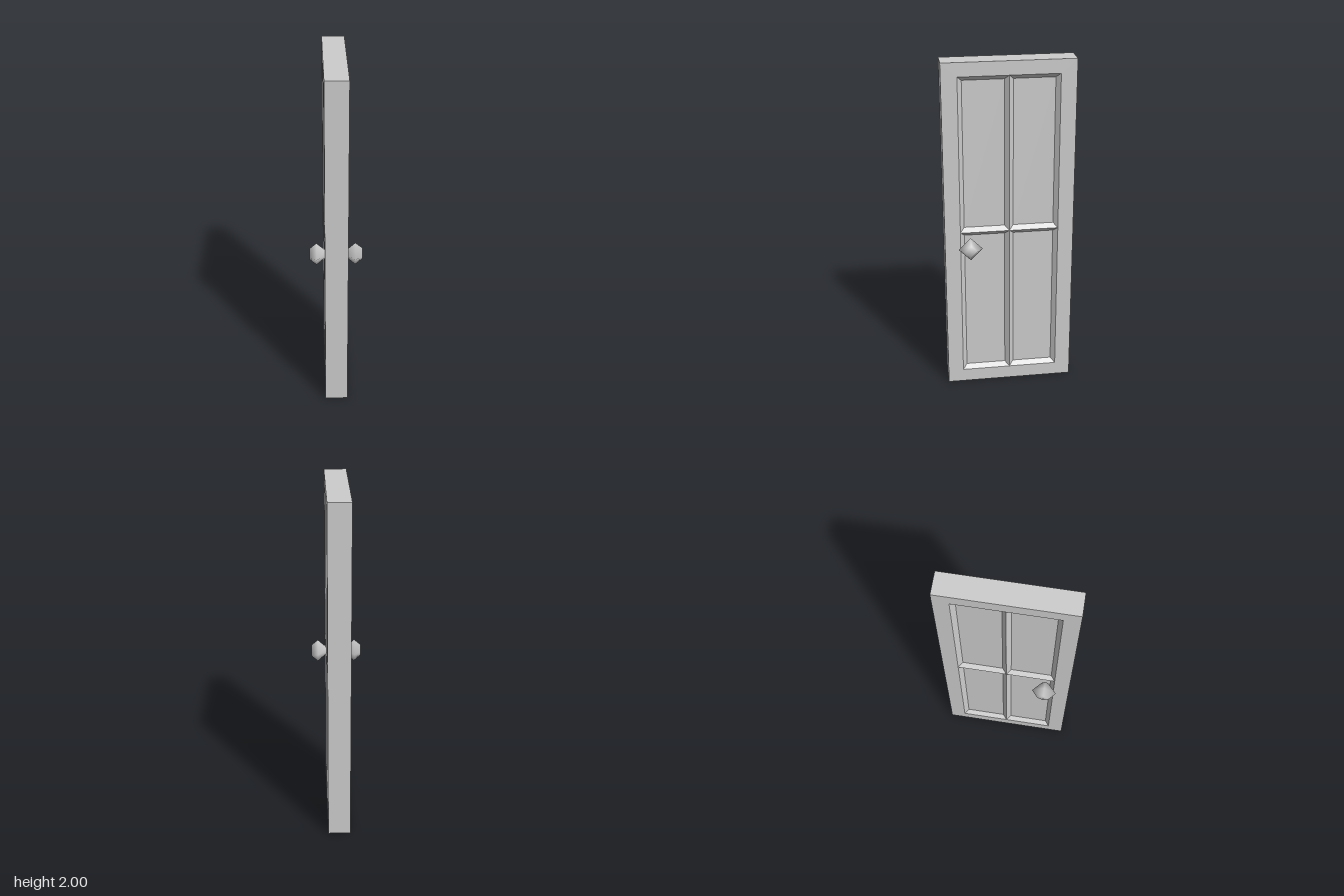
import * as THREE from 'three';

const HALF_T = 0.065;   // half the slab thickness
const HALF_W = 0.375;   // half the door width (along z)
const HEIGHT = 2;
const BEVEL = 0.025;    // width and depth of the panel bevels

// Rectangle facing sideways at x, corners anticlockwise seen from outside
function rect(side, x, z0, y0, z1, y1) {
  const corners = [[z1, y0], [z0, y0], [z0, y1], [z1, y1]].map(([z, y]) => [side * x, y, z]);
  return side > 0 ? corners : corners.reverse();
}

// Flat-faced geometry from a list of four-cornered faces
function fromQuads(quads) {
  const positions = quads.flatMap(([a, b, c, d]) => [a, b, c, a, c, d].flat());
  const geometry = new THREE.BufferGeometry();
  geometry.setAttribute('position', new THREE.Float32BufferAttribute(positions, 3));
  geometry.computeVertexNormals();
  return geometry;
}

// Band of four faces joining two rectangles
function ring(outer, inner) {
  return outer.map((corner, i) => {
    const j = (i + 1) % 4;
    return [corner, outer[j], inner[j], inner[i]];
  });
}

export function createModel() {
  const model = new THREE.Group();
  model.name = 'door';
  const grey = new THREE.MeshStandardMaterial({ color: 0xcccccc });
  grey.name = 'lightGrey';

  const add = (name, geometry) => {
    const mesh = new THREE.Mesh(geometry, grey);
    mesh.name = name;
    model.add(mesh);
    return mesh;
  };

  // Outer edges of the slab
  const faceRect = (side, x) => rect(side, x, -HALF_W, 0, HALF_W, HEIGHT);
  add('doorEdges', fromQuads(ring(faceRect(1, -HALF_T), faceRect(1, HALF_T))));

  const zLines = [-0.285, 0, 0.285];
  const yLines = [0.08, 1, 1.92];

  for (const side of [1, -1]) {
    const label = side > 0 ? 'left' : 'right';

    // Flat border around the panels
    const opening = rect(side, HALF_T, zLines[0], yLines[0], zLines[2], yLines[2]);
    add(label + 'Frame', fromQuads(ring(faceRect(side, HALF_T), opening)));

    // Four recessed panels whose bevels meet in sharp ridges
    const bevels = [];
    const panels = [];
    for (let i = 0; i < 2; i++) {
      for (let j = 0; j < 2; j++) {
        const [z0, z1, y0, y1] = [zLines[i], zLines[i + 1], yLines[j], yLines[j + 1]];
        const panel = rect(side, HALF_T - BEVEL, z0 + BEVEL, y0 + BEVEL, z1 - BEVEL, y1 - BEVEL);
        bevels.push(...ring(rect(side, HALF_T, z0, y0, z1, y1), panel));
        panels.push(panel);
      }
    }
    add(label + 'Bevels', fromQuads(bevels));
    add(label + 'Panels', fromQuads(panels));

    // Four-sided knob, smooth shaded
    const profile = [[0.02, 0.055], [0.07, 0.11], [0.036, 0.15], [0, 0.15]]
      .map(([r, h]) => new THREE.Vector2(r, h));
    const knob = add(label + 'Knob', new THREE.LatheGeometry(profile, 4));
    knob.rotation.z = -side * Math.PI / 2;
    knob.position.set(0, 0.916, 0.231);
  }

  return model;
}
